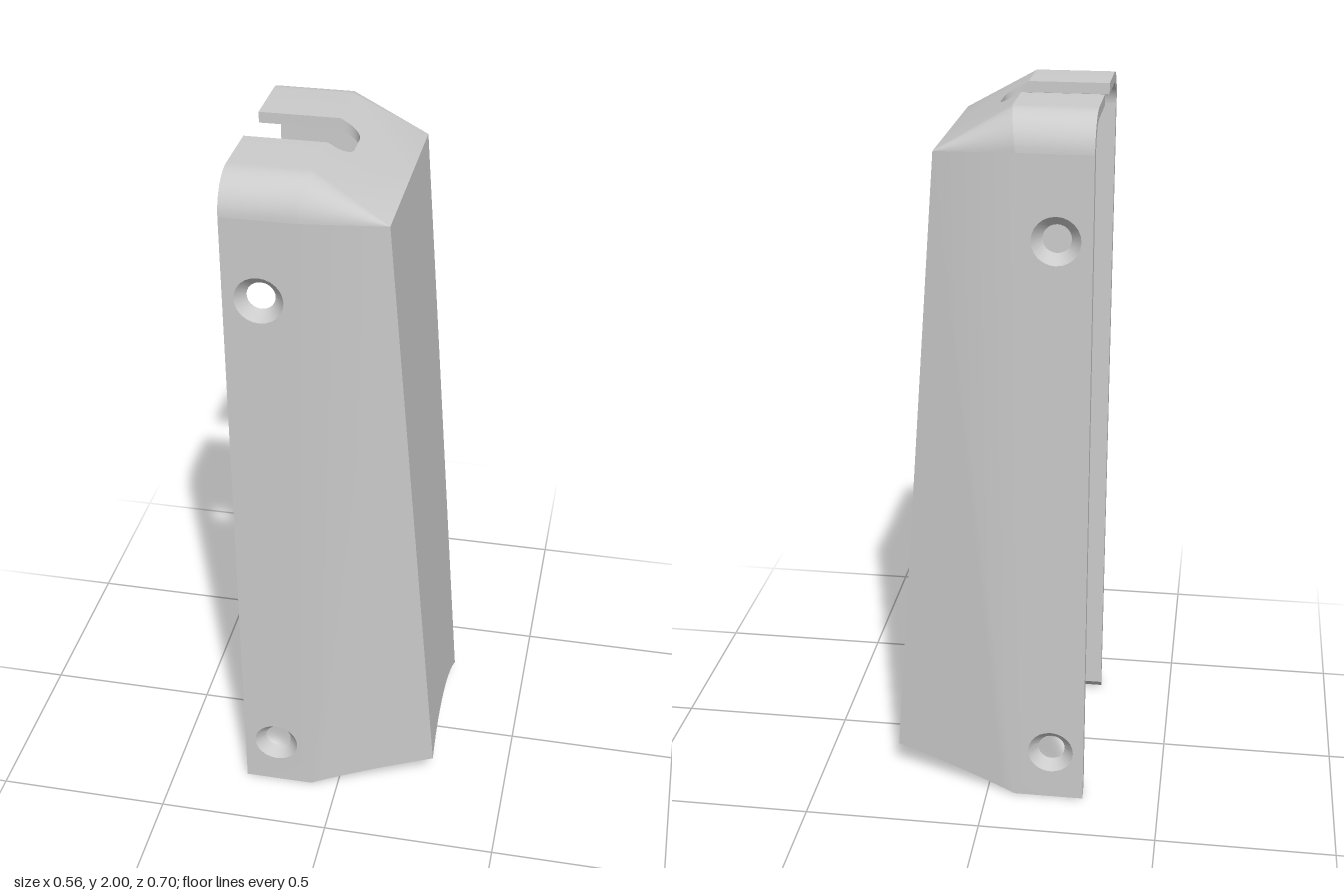
import * as THREE from 'three';
import { mergeGeometries, toCreasedNormals } from 'three/addons/utils/BufferGeometryUtils.js';

const T = 0.03;                                   // wall thickness
const BACK = -0.28, SIDE_BEND = -0.08, TOP_BEND = -0.06;
const SHOULDER_Y = 1.9, RADIUS = 0.1, SLOT = 0.08, SLOT_R = 0.045;

// Faces of the shell, each inset by t: side (z), front (x), top (y), bottom arch (y)
const sideZ = (x, y, t) => 0.325 + 0.0133 * y - t - 0.2727 * Math.max(0, x - SIDE_BEND);
const frontX = (y, t) => 0.14 + (1.885 - y) * 0.0776 - t;
const topY = (x, t) => 2 - t - 0.575 * Math.max(0, x - TOP_BEND);
const archY = (z) => -0.307 + Math.sqrt(0.447 ** 2 - z * z);
const SHOULDER_Z = sideZ(SIDE_BEND, SHOULDER_Y, 0) - RADIUS;

const steps = (n, f) => Array.from({ length: n + 1 }, (_, i) => f(i / n));

// Top front corner, where side, front and top meet
function corner(t) {
  const x = 0.14 - 0.96 * t, y = topY(x, t);
  return [x, y, sideZ(x, y, t)];
}

// Point of the side wall's lower edge; k runs from the bend to the front edge
function sideBottom(x0, k, t) {
  let y = 0.08, x = x0, z = 0;
  for (let i = 0; i < 12; i++) {
    x = x0 + (frontX(y, t) - x0) * k;
    z = sideZ(x, y, t);
    y = archY(z);
  }
  return [x, y, z];
}

function fromTriangles(tris) {
  const g = new THREE.BufferGeometry();
  g.setAttribute('position', new THREE.Float32BufferAttribute(tris.flat(2), 3));
  return g;
}

const quad = (a, b, c, d) => [[a, b, c], [a, c, d]];

// Slab between an outline at t = 0 and at t = T; only open edges get a rim
function slab(outline, [u, v], isOpen, holes = []) {
  const tris = [];
  const loops = [0, T].map((t) => [outline(t), ...holes.map((h) => h(t))]);
  loops.forEach((set, inner) => {
    const [contour, ...cuts] = set.map((l) => l.map((p) => new THREE.Vector2(p[u], p[v])));
    const points = set.flat();
    for (const [a, b, c] of THREE.ShapeUtils.triangulateShape(contour, cuts)) {
      tris.push(inner ? [points[a], points[c], points[b]] : [points[a], points[b], points[c]]);
    }
  });
  loops[0].forEach((outer, l) => outer.forEach((p, i) => {
    if (l === 0 && !isOpen(i)) return;
    const j = (i + 1) % outer.length, inner = loops[1][l];
    tris.push(...quad(inner[i], inner[j], outer[j], p));
  }));
  return fromTriangles(tris);
}

// Countersunk screw hole, narrowing towards the inside
const screwHole = (y0) => (t) => steps(23, (k) => {
  const a = -k * Math.PI * 2 * 23 / 24, r = t ? 0.038 : 0.065;
  const x = -0.185 + r * Math.cos(a), y = y0 + r * Math.sin(a);
  return [x, y, sideZ(x, y, t)];
});

// Flat rear strip of the side wall, with two screw holes
const sideStrip = () => slab((t) => {
  const low = sideBottom(SIDE_BEND, 0, t);
  const z = SHOULDER_Z + RADIUS - t;
  return [[BACK, low[1], low[2]], low, [SIDE_BEND, SHOULDER_Y, z], [BACK, SHOULDER_Y, z]];
}, [0, 1], (i) => i === 0 || i === 3, [screwHole(1.675), screwHole(0.15)]);

// Forward part of the side wall, angled inwards
const sideTaper = () => slab((t) => [
  ...steps(10, (k) => sideBottom(SIDE_BEND, k, t)),
  corner(t),
  [SIDE_BEND, SHOULDER_Y, SHOULDER_Z + RADIUS - t],
], [0, 1], (i) => i < 10);

// Sloping front plate with the arched lower edge
const frontPlate = () => slab((t) => {
  const c = corner(t), edge = sideBottom(SIDE_BEND, 1, t);
  return [[c[0], c[1], 0], c, ...steps(16, (k) => {
    const z = edge[2] * (1 - k), y = archY(z);
    return [frontX(y, t), y, z];
  })];
}, [1, 2], (i) => i >= 2 && i < 18);

// Level part of the top, beside the slot
const topFlat = () => slab((t) => [
  [BACK, 2 - t, SLOT], [BACK, 2 - t, SHOULDER_Z],
  [TOP_BEND, 2 - t, SHOULDER_Z], [TOP_BEND, 2 - t, SLOT],
], [2, 0], (i) => i === 0 || i === 3);

// Sloping part of the top, around the rounded end of the slot
const topSlope = () => slab((t) => {
  const c = corner(t);
  const end = steps(8, (k) => {
    const a = k * Math.PI / 2;
    const x = -SLOT_R + SLOT_R * Math.cos(a);
    return [x, topY(x, t), SLOT - SLOT_R + SLOT_R * Math.sin(a)];
  });
  return [[TOP_BEND, 2 - t, SLOT], [TOP_BEND, 2 - t, SHOULDER_Z], c,
    [c[0], c[1], 0], [0, topY(0, t), 0], ...end];
}, [2, 0], (i) => i >= 4);

// Rounded shoulder running forward and closing to the front corner
function shoulder() {
  const n = 12, tris = [];
  const arc = (t, x0, x1) => steps(n, (k) => {
    const a = k * Math.PI / 2, r = RADIUS - t;
    return [x0 + (x1 - x0) * k, SHOULDER_Y + r * Math.sin(a), SHOULDER_Z + r * Math.cos(a)];
  });
  const back = [0, T].map((t) => arc(t, BACK, BACK));
  [0, T].forEach((t, s) => {
    const b = back[s], f = arc(t, SIDE_BEND, TOP_BEND), tip = corner(t);
    for (let i = 0; i < n; i++) {
      const faces = [...quad(b[i], f[i], f[i + 1], b[i + 1]), [f[i], tip, f[i + 1]]];
      tris.push(...faces.map((q) => (s ? [q[0], q[2], q[1]] : q)));
    }
  });
  for (let i = 0; i < n; i++) {
    tris.push(...quad(back[0][i], back[0][i + 1], back[1][i + 1], back[1][i]));
  }
  return fromTriangles(tris);
}

// Copy mirrored in z, with the corner order reversed
function mirrored(g) {
  const p = g.attributes.position, out = [];
  for (let i = 0; i < p.count; i += 3) {
    for (const j of [i, i + 2, i + 1]) out.push(p.getX(j), p.getY(j), -p.getZ(j));
  }
  const m = new THREE.BufferGeometry();
  m.setAttribute('position', new THREE.Float32BufferAttribute(out, 3));
  return m;
}

export function createModel() {
  const group = new THREE.Group();
  group.name = 'gripCover';
  const material = new THREE.MeshStandardMaterial({ color: 0xcccccc });
  const parts = {
    sideWalls: [sideStrip(), sideTaper()],
    frontPlate: [frontPlate()],
    top: [topFlat(), topSlope(), shoulder()],
  };
  for (const [name, halves] of Object.entries(parts)) {
    const whole = mergeGeometries([...halves, ...halves.map(mirrored)]);
    const mesh = new THREE.Mesh(toCreasedNormals(whole, 0.27), material);
    mesh.name = name;
    group.add(mesh);
  }
  return group;
}
